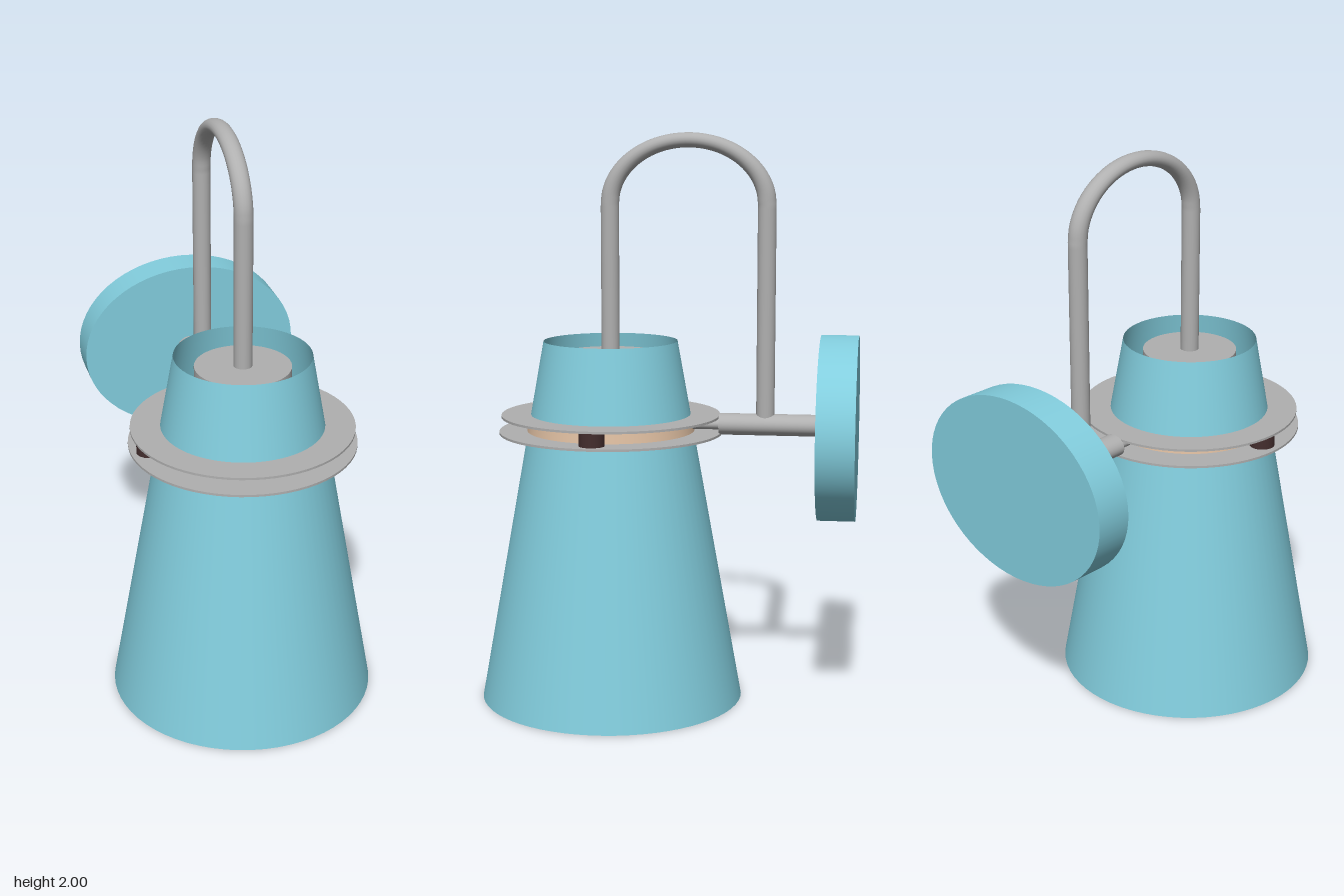
import * as THREE from 'three';

export function createModel() {
  const model = new THREE.Group();
  model.name = 'wallLamp';
  const mat = (name, color, side = THREE.FrontSide) => {
    const m = new THREE.MeshStandardMaterial({ color, side });
    m.name = name;
    return m;
  };
  const blue = mat('blueEnamel', 0x82cddd, THREE.DoubleSide);
  const metal = mat('greyMetal', 0xb0b0b0);
  const tan = mat('warmTan', 0xdcbc9f);
  const dark = mat('darkBrown', 0x442e2e);

  const axisZ = 0.2;   // centre line of the shade
  const squash = 0.8;  // heights of the round parts are slightly flattened
  const add = (name, geo, material, x, y, z) => {
    const mesh = new THREE.Mesh(geo, material);
    mesh.name = name;
    mesh.position.set(x, y, z);
    model.add(mesh);
    return mesh;
  };
  const radiusAt = (y) => 0.465 - (0.23 * y) / 1.28;

  // Open conical shade
  add('shade', new THREE.CylinderGeometry(radiusAt(1.28), radiusAt(0), 1.28, 64, 1, true), blue, 0, 0.64, axisZ);

  // Tan band between two thin collar plates
  add('shadeBand', new THREE.CylinderGeometry(radiusAt(1.02) + 0.003, radiusAt(0.96) + 0.003, 0.06, 64, 1, true),
    tan, 0, 0.99, axisZ);
  for (const [name, y, r] of [['upperCollar', 1.018, 0.385], ['lowerCollar', 0.96, 0.393]]) {
    const ring = new THREE.Shape().absarc(0, 0, r, 0, Math.PI * 2);
    ring.holes.push(new THREE.Path().absarc(0, 0, radiusAt(y) - 0.002, 0, Math.PI * 2, true));
    const geo = new THREE.ExtrudeGeometry(ring, { depth: 0.008, bevelEnabled: false, curveSegments: 32 });
    geo.rotateX(-Math.PI / 2).translate(0, -0.004, 0);
    add(name, geo, metal, 0, y, axisZ);
  }

  // Side spacers held between the plates
  for (const s of [-1, 1]) {
    add(s > 0 ? 'leftSpacer' : 'rightSpacer', new THREE.CylinderGeometry(0.044, 0.044, 0.05, 20),
      dark, s * 0.33, 0.989, axisZ + 0.012);
  }

  // Socket and bulb inside the shade
  add('socket', new THREE.CylinderGeometry(0.165, 0.165, 0.24, 48), metal, 0, 1.12, axisZ);
  add('bulb', new THREE.SphereGeometry(0.2, 40, 24), tan, 0, 0.92, axisZ).scale.y = squash;

  // Bent arm: straight legs joined by a flattened half circle
  const backZ = -0.345, midZ = (axisZ + backZ) / 2, bend = (axisZ - backZ) / 2;
  const bendY = 1.974 / squash - bend;
  const path = new THREE.CurvePath();
  const arc = [];
  for (let i = 0; i <= 16; i++) {
    const a = (i / 16) * Math.PI;
    arc.push(new THREE.Vector3(0, bendY + bend * Math.sin(a), midZ + bend * Math.cos(a)));
  }
  path.add(new THREE.LineCurve3(new THREE.Vector3(0, 1.22 / squash, axisZ), arc[0]));
  path.add(new THREE.CatmullRomCurve3(arc));
  path.add(new THREE.LineCurve3(arc[16], new THREE.Vector3(0, 1.0 / squash, backZ)));
  add('bentArm', new THREE.TubeGeometry(path, 120, 0.032, 20), metal, 0, 0, 0).scale.y = squash;

  // Horizontal parts running back to the wall
  const rod = (name, r, z0, z1, material, y, seg) => {
    const geo = new THREE.CylinderGeometry(r, r, z1 - z0, seg).rotateX(Math.PI / 2);
    add(name, geo, material, 0, y, (z0 + z1) / 2).scale.y = squash;
  };
  rod('connectingPin', 0.024, -0.2, -0.07, metal, 0.992, 20);
  rod('wallArm', 0.047, -0.54, -0.185, metal, 0.993, 32);
  rod('wallPlate', 0.4, -0.665, -0.535, blue, 0.988, 64);

  return model;
}
